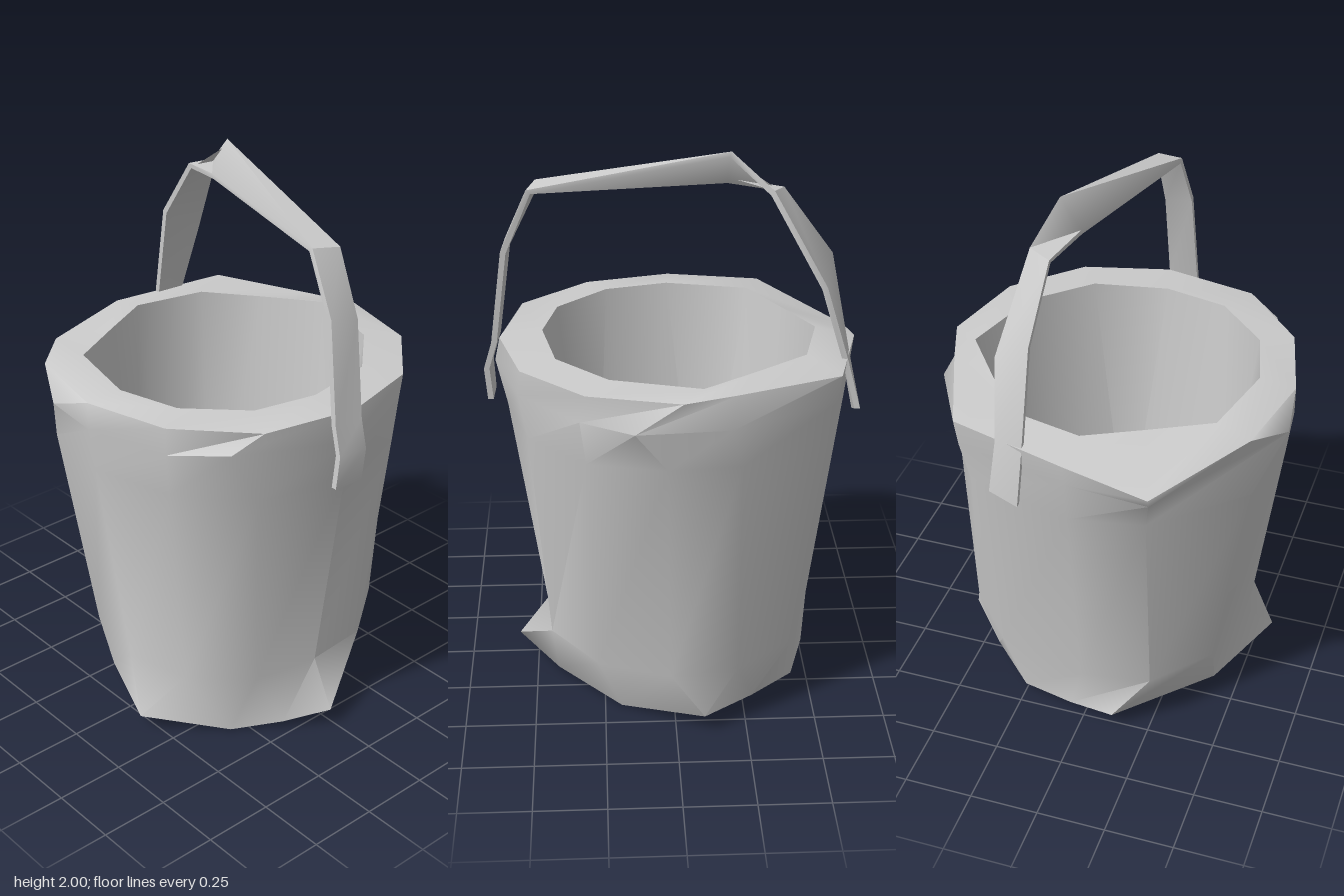
import * as THREE from 'three';
import { toCreasedNormals } from 'three/addons/utils/BufferGeometryUtils.js';

// Skins a stack of closed loops of [x, y, z] corners and caps both ends.
function loft(rings, crease) {
  const pos = [];
  const tri = (...corners) => corners.forEach((c) => pos.push(...c));
  const n = rings[0].length;
  const middle = (ring) => [0, 1, 2].map((k) => ring.reduce((s, p) => s + p[k], 0) / n);
  const first = rings[0], last = rings[rings.length - 1];
  const start = middle(first), end = middle(last);
  for (let i = 0; i < n; i++) {
    const j = (i + 1) % n;
    for (let r = 0; r < rings.length - 1; r++) {
      const a = rings[r], b = rings[r + 1];
      tri(a[i], b[i], a[j]);
      tri(b[i], b[j], a[j]);
    }
    tri(start, first[i], first[j]);
    tri(end, last[j], last[i]);
  }
  const geo = new THREE.BufferGeometry();
  geo.setAttribute('position', new THREE.Float32BufferAttribute(pos, 3));
  return toCreasedNormals(geo, crease);
}

// Puts a loop of [x, z] corners at one height.
const level = (y, loop) => loop.map(([x, z]) => [x, y, z]);

export function createModel() {
  const model = new THREE.Group();
  const grey = new THREE.MeshStandardMaterial({ color: 0xcccccc });
  const add = (name, geometry) => {
    const mesh = new THREE.Mesh(geometry, grey);
    mesh.name = name;
    model.add(mesh);
  };

  // Uneven foot and the slightly raised underside
  const foot = [
    [0.57, 0.07, 0.02], [0.47, 0.03, 0.16], [0.35, 0, 0.31], [0.14, 0.065, 0.56],
    [-0.2, 0.05, 0.42], [-0.53, 0.065, 0.12], [-0.5, 0.05, -0.05], [-0.44, 0.03, -0.25],
    [-0.28, 0.05, -0.42], [-0.1, 0.07, -0.58], [0.19, 0, -0.39], [0.42, 0.03, -0.17],
  ];
  const underside = foot.map(([x, , z]) => [x * 0.85, 0.035, z * 0.85]);

  // Tapered wall
  const wallLow = level(0.23, [
    [0.46, 0], [0.42, 0.25], [0.24, 0.43], [0, 0.49], [-0.27, 0.43], [-0.48, 0.25],
    [-0.52, 0], [-0.43, -0.34], [-0.22, -0.52], [0.02, -0.565], [0.27, -0.47], [0.44, -0.24],
  ]);
  const wallHigh = level(1.04, [
    [0.58, 0], [0.51, 0.33], [0.28, 0.52], [-0.02, 0.6], [-0.31, 0.55], [-0.58, 0.26],
    [-0.63, 0], [-0.53, -0.38], [-0.22, -0.56], [0.03, -0.585], [0.3, -0.52], [0.5, -0.31],
  ]);

  // Flared lip, with one dipped corner
  const lipSide = level(1.2, [
    [0.62, 0.02], [0.49, 0.43], [0.29, 0.54], [-0.02, 0.62], [-0.19, 0.64], [-0.65, 0.29],
    [-0.65, 0], [-0.55, -0.41], [-0.18, -0.62], [0.14, -0.645], [0.32, -0.535], [0.53, -0.3],
  ]);
  lipSide[1][1] = lipSide[4][1] = 1.24;
  lipSide[5][1] = 1.18;
  const lipTop = level(1.3, [
    [0.6, -0.02], [0.53, 0.32], [0.29, 0.54], [-0.02, 0.62], [-0.36, 0.55], [-0.66, 0.29],
    [-0.66, 0], [-0.56, -0.42], [-0.2, -0.565], [-0.02, -0.63], [0.3, -0.55], [0.52, -0.33],
  ]);
  lipTop[5][1] = 1.21;
  lipTop[6][1] = 1.28;
  const mouth = level(1.31, [
    [0.45, 0.02], [0.4, 0.25], [0.22, 0.43], [-0.01, 0.49], [-0.31, 0.42], [-0.42, 0.21],
    [-0.52, 0.01], [-0.46, -0.25], [-0.28, -0.39], [-0.09, -0.53], [0.22, -0.44], [0.4, -0.25],
  ]);

  // Inside floor
  const floor = level(0.14, [
    [0.32, 0.06], [0.27, 0.29], [0.07, 0.335], [-0.14, 0.38], [-0.28, 0.25], [-0.41, 0.12],
    [-0.39, -0.02], [-0.35, -0.2], [-0.17, -0.315], [0.02, -0.43], [0.19, -0.27], [0.36, -0.11],
  ]);
  add('bucket', loft([underside, foot, wallLow, wallHigh, lipSide, lipTop, mouth, floor], 0.95));

  // Bent carrying strap: front and back edge at each station, thickened inwards
  const stations = [
    [[-0.655, 1.07, -0.165], [-0.65, 1.11, -0.265]],
    [[-0.62, 1.28, -0.155], [-0.605, 1.28, -0.255]],
    [[-0.55, 1.64, -0.145], [-0.52, 1.56, -0.275]],
    [[-0.38, 1.87, -0.13], [-0.34, 1.88, -0.21]],
    [[-0.2, 1.89, -0.085], [-0.2, 2, -0.155]],
    [[0.46, 1.85, 0.06], [0.49, 1.84, -0.035]],
    [[0.57, 1.64, 0.075], [0.585, 1.62, -0.03]],
    [[0.62, 1.28, 0.09], [0.63, 1.28, -0.02]],
    [[0.65, 1.18, 0.095], [0.66, 1.18, -0.015]],
    [[0.645, 1.06, 0.105], [0.65, 1.06, -0.01]],
  ];
  const inward = ([x, y, z]) => {
    const rise = Math.max(0, y - 1.4);
    const k = 0.02 / Math.hypot(x, rise);
    return [x - x * k, y - rise * k, z];
  };
  add('handle', loft(stations.map(([a, b]) => [inward(a), a, b, inward(b)]), 0.8));

  return model;
}
